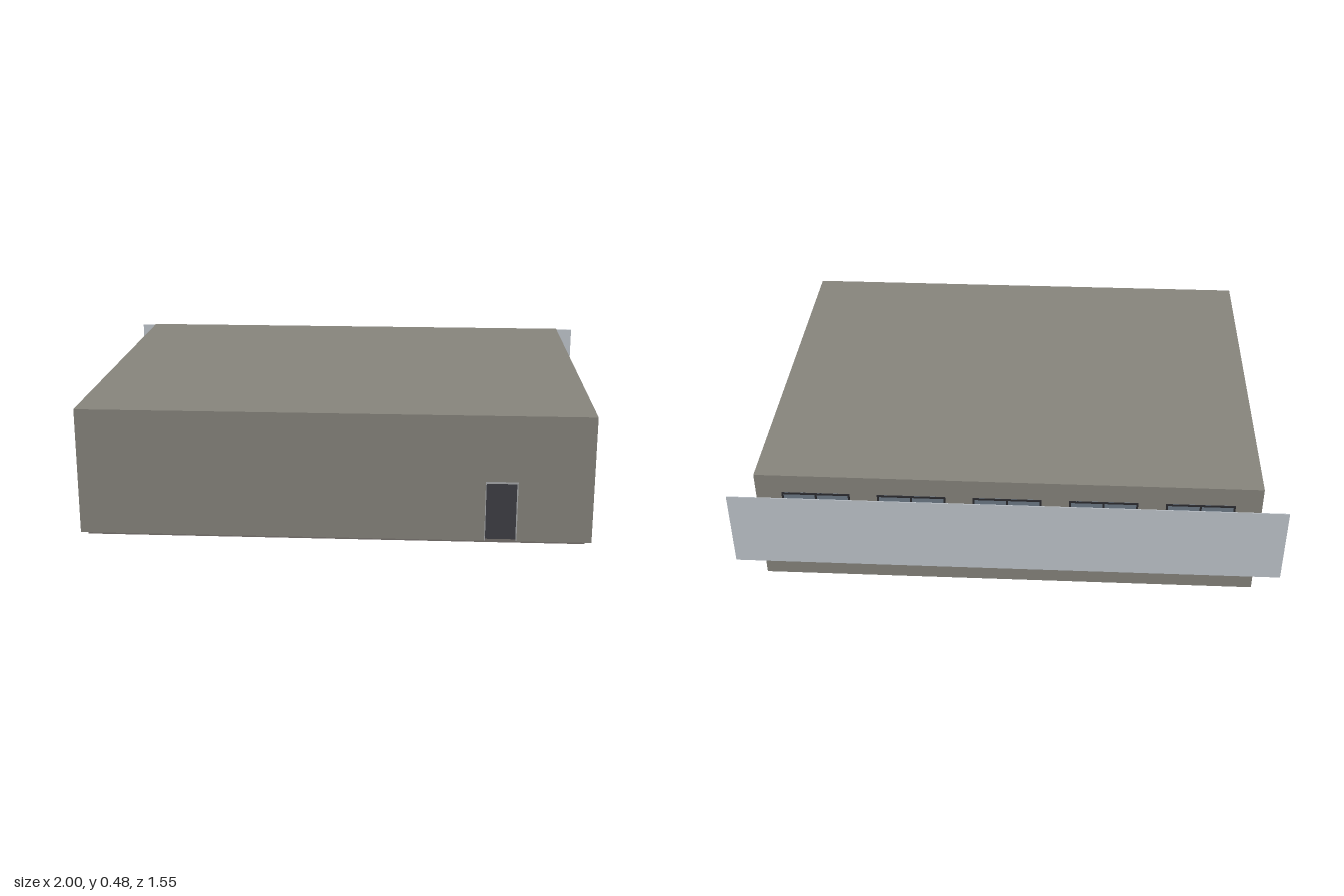
import * as THREE from 'three';

const mat = (name, color) => new THREE.MeshStandardMaterial({ name, color });

export function createModel() {
  const concrete = mat('concrete', 0x88867e);
  const slabGrey = mat('slab grey', 0x79736f);
  const screenGrey = mat('screen pale grey', 0xc2c8cf);
  const doorDark = mat('door charcoal', 0x3f3f45);
  const frameGrey = mat('frame light grey', 0xa9abad);
  const windowDark = mat('window frame dark', 0x2c2c30);
  const glass = mat('window glass', 0x6f7c88);

  const model = new THREE.Group();
  model.name = 'building';

  // Box given by its lower and upper corners
  const box = (parent, name, m, [x0, y0, z0], [x1, y1, z1]) => {
    const mesh = new THREE.Mesh(new THREE.BoxGeometry(x1 - x0, y1 - y0, z1 - z0), m);
    mesh.position.set((x0 + x1) / 2, (y0 + y1) / 2, (z0 + z1) / 2);
    mesh.name = name;
    parent.add(mesh);
    return mesh;
  };

  const X = 0.92, BACK = -0.675, FRONT = 0.775, T = 0.025;
  const BASE = 0.015, EAVE = 0.455, TOP = 0.48, DOOR_TOP = 0.237;

  // Floor, roof and the two walls without doors
  box(model, 'floorSlab', slabGrey, [-0.9, 0, BACK + T], [0.9, BASE, FRONT - T]);
  box(model, 'roof', concrete, [-X, EAVE, BACK], [X, TOP, FRONT]);
  box(model, 'backWall', concrete, [-X, BASE, BACK], [X, EAVE, BACK + T]);
  box(model, 'leftWall', concrete, [X - T, BASE, BACK + T], [X, EAVE, FRONT - T]);

  // Wall with a doorway notch, a frame and a recessed leaf; outside faces +z
  const doorWall = (name, a, b, d0, d1) => {
    const group = new THREE.Group();
    group.name = name;
    const outline = [[a, BASE], [d0, BASE], [d0, DOOR_TOP], [d1, DOOR_TOP], [d1, BASE],
      [b, BASE], [b, EAVE], [a, EAVE]].map(([x, y]) => new THREE.Vector2(x, y));
    const wall = new THREE.Mesh(
      new THREE.ExtrudeGeometry(new THREE.Shape(outline), { depth: T, bevelEnabled: false }), concrete);
    wall.name = name + 'Panel';
    group.add(wall);
    box(group, 'doorLeaf', doorDark, [d0, BASE, 0], [d1, DOOR_TOP, 0.006]);
    box(group, 'doorHead', frameGrey, [d0, DOOR_TOP - 0.008, 0.006], [d1, DOOR_TOP, T - 0.002]);
    for (const [x0, x1] of [[d0, d0 + 0.003], [d1 - 0.003, d1]])
      box(group, 'doorJamb', frameGrey, [x0, BASE, 0.006], [x1, DOOR_TOP - 0.008, T - 0.002]);
    model.add(group);
    return group;
  };

  doorWall('frontWall', -X, X, 0.54, 0.655).position.z = FRONT - T;
  const side = doorWall('rightWall', BACK + T, FRONT - T, 0.115, 0.222);
  side.rotation.y = -Math.PI / 2;
  side.position.x = -X + T;

  // Row of windows along the back wall
  for (let i = -2; i <= 2; i++) {
    const win = new THREE.Group();
    win.name = 'window';
    win.position.set(i * 0.35, 0, BACK);
    const w = 0.125, y0 = 0.212, y1 = 0.405, f = 0.007;
    box(win, 'windowGlass', glass, [-w, y0, -0.001], [w, y1, 0]);
    for (const x of [-w, -f / 2, w - f])
      box(win, 'windowPost', windowDark, [x, y0, -0.004], [x + f, y1, 0]);
    for (const y of [y0, y1 - f])
      box(win, 'windowRail', windowDark, [-w, y, -0.004], [w, y + f, 0]);
    box(win, 'windowSill', windowDark, [-w, y0 - 0.004, -0.008], [w, y0, 0]);
    model.add(win);
  }

  // Long screen standing off the back wall
  box(model, 'backScreen', screenGrey, [-1, 0.158, -0.775], [1, 0.455, -0.772]);

  return model;
}
